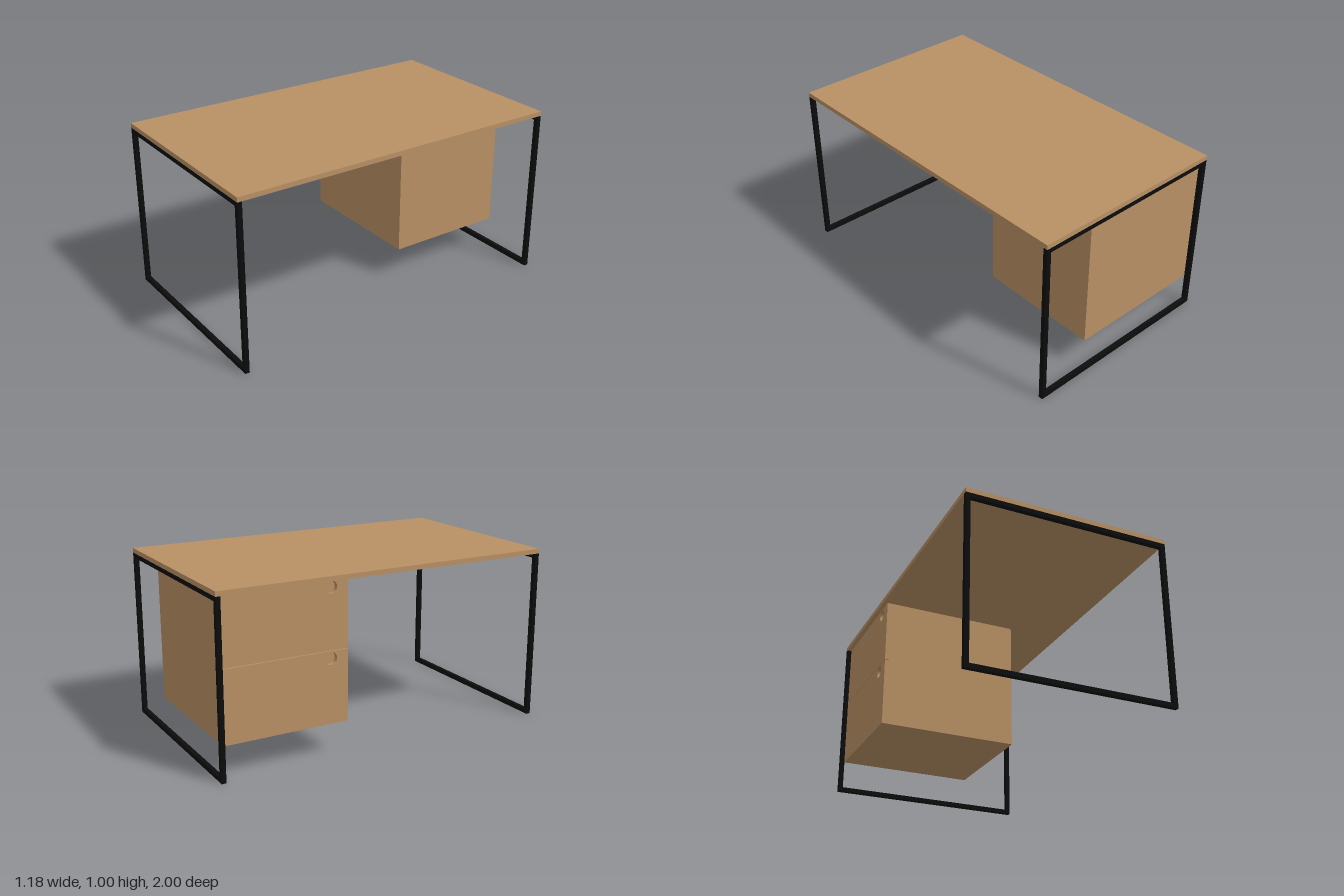
import * as THREE from 'three';

export function createModel() {
  const desk = new THREE.Group();
  desk.name = 'desk';
  const wood = new THREE.MeshStandardMaterial({ color: 0xb89064 });
  wood.name = 'wood';
  const black = new THREE.MeshStandardMaterial({ color: 0x0c0c0c });
  black.name = 'black metal';

  const W = 0.59, BAR = 0.026, TOP = 0.973; // half width, bar size, underside of the top

  // Box given by its lower and upper corners
  const box = (name, material, [x0, y0, z0], [x1, y1, z1], parent = desk) => {
    const mesh = new THREE.Mesh(new THREE.BoxGeometry(x1 - x0, y1 - y0, z1 - z0), material);
    mesh.position.set((x0 + x1) / 2, (y0 + y1) / 2, (z0 + z1) / 2);
    mesh.name = name;
    parent.add(mesh);
    return mesh;
  };

  box('tableTop', wood, [-W, TOP, -1], [W, 1, 1]);

  // Rectangular leg frame at each end
  for (const side of [1, -1]) {
    const shape = new THREE.Shape([
      new THREE.Vector2(-W, 0), new THREE.Vector2(W, 0),
      new THREE.Vector2(W, TOP), new THREE.Vector2(-W, TOP),
    ]);
    shape.holes.push(new THREE.Path([
      new THREE.Vector2(-W + BAR, BAR), new THREE.Vector2(-W + BAR, TOP - BAR),
      new THREE.Vector2(W - BAR, TOP - BAR), new THREE.Vector2(W - BAR, BAR),
    ]));
    const frame = new THREE.Mesh(
      new THREE.ExtrudeGeometry(shape, { depth: BAR, bevelEnabled: false }), black);
    frame.position.z = side > 0 ? 1 - BAR : -1;
    frame.name = side > 0 ? 'frontLegFrame' : 'backLegFrame';
    desk.add(frame);
  }

  // Drawer cabinet hanging under the top
  const cabinet = new THREE.Group();
  cabinet.name = 'drawerCabinet';
  desk.add(cabinet);
  const z0 = -1 + BAR, z1 = -0.25, bottom = 0.19, seam = 0.596, gap = 0.002;
  box('cabinetBody', wood, [-0.54, bottom, z0], [0.26, TOP, z1], cabinet);

  // Drawer fronts, each with a round finger hole
  const drawers = [
    ['lowerDrawerFront', bottom, seam - gap, 0.553],
    ['upperDrawerFront', seam + gap, TOP, 0.936],
  ];
  for (const [name, y0, y1, holeY] of drawers) {
    const shape = new THREE.Shape([
      new THREE.Vector2(z0, y0), new THREE.Vector2(z1, y0),
      new THREE.Vector2(z1, y1), new THREE.Vector2(z0, y1),
    ]);
    shape.holes.push(new THREE.Path().absarc(-0.35, holeY, 0.034, 0, Math.PI * 2, true));
    const front = new THREE.Mesh(new THREE.ExtrudeGeometry(
      shape, { depth: 0.025, bevelEnabled: false, curveSegments: 24 }), wood);
    front.rotation.y = -Math.PI / 2;
    front.position.x = -0.54;
    front.name = name;
    cabinet.add(front);
  }
  return desk;
}
